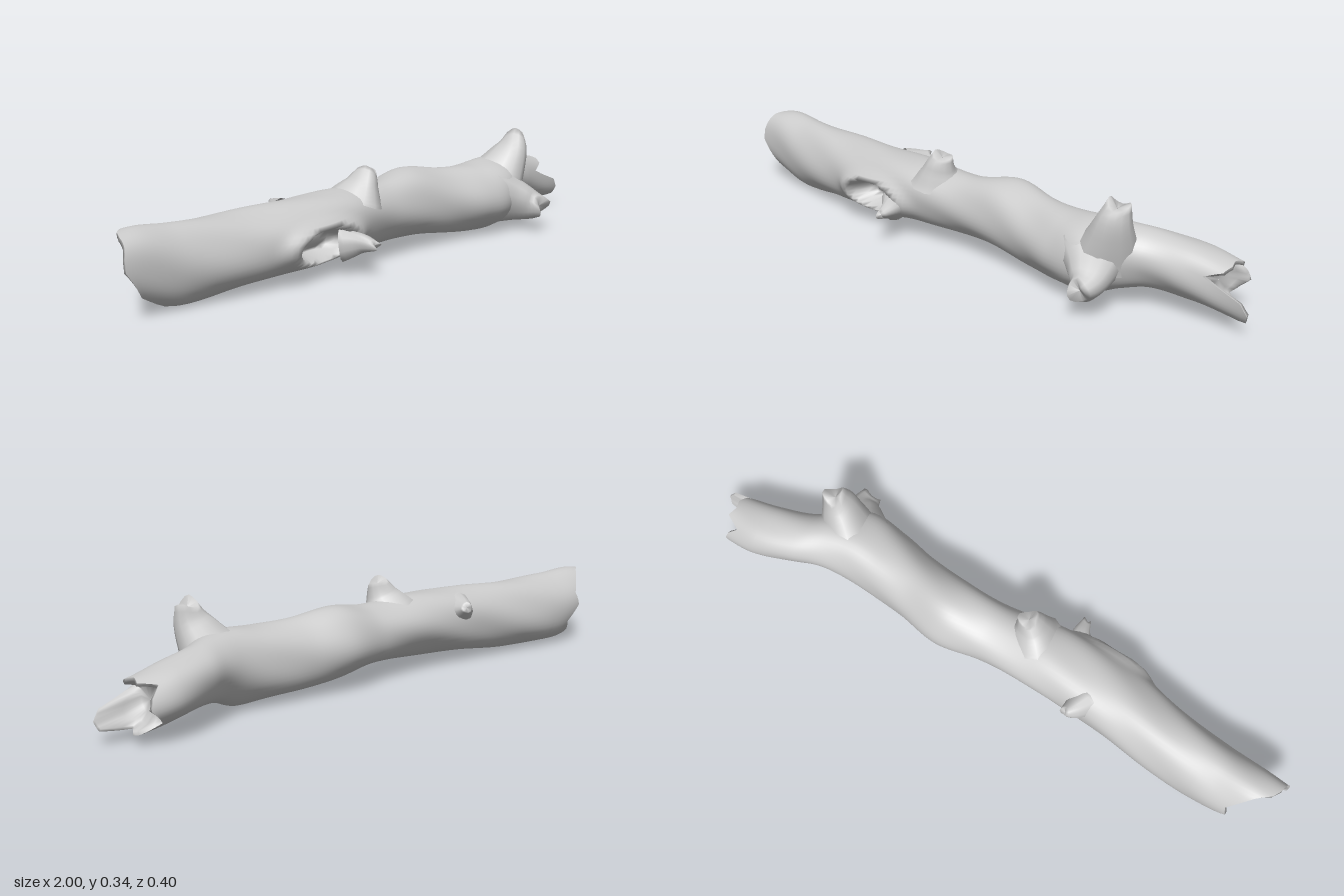
import * as THREE from 'three';

// Trunk stations: x, top, bottom, back z, front z
const STATIONS = [
  [-1.0, 0.235, 0.05, -0.10, 0.052],
  [-0.92, 0.243, 0.03, -0.112, 0.058],
  [-0.8, 0.232, 0.005, -0.122, 0.07],
  [-0.6, 0.23, 0.013, -0.118, 0.092],
  [-0.4, 0.238, 0.03, -0.107, 0.118],
  [-0.2, 0.244, 0.045, -0.1, 0.115],
  [0.0, 0.235, 0.05, -0.108, 0.085],
  [0.15, 0.255, 0.037, -0.135, 0.08],
  [0.3, 0.235, 0.022, -0.115, 0.09],
  [0.42, 0.235, 0.015, -0.106, 0.112],
  [0.52, 0.243, 0.017, -0.108, 0.12],
  [0.6, 0.24, 0.045, -0.125, 0.085],
  [0.68, 0.228, 0.06, -0.158, 0.015],
  [0.8, 0.21, 0.048, -0.193, -0.022],
  [0.9, 0.19, 0.035, -0.195, -0.042],
  [1.0, 0.175, 0.025, -0.185, -0.05],
];
// Broken end outlines: x reached at 16 angles, from the top towards the front
const LEFT_END = [-0.97, -0.985, -0.99, -1, -1, -0.97, -0.94, -0.85, -0.82, -0.86, -0.85, -0.83, -0.88, -0.87, -0.9, -0.93];
const RIGHT_END = [0.91, 0.92, 0.91, 0.86, 0.98, 1, 0.99, 0.9, 0.92, 0.91, 0.86, 0.88, 0.91, 0.9, 0.87, 0.92];
const SIDES = 48;
const RINGS = 120;

const material = new THREE.MeshStandardMaterial({ color: 0xcccccc, side: THREE.DoubleSide });

// Smooth interpolation between stations
function section(x) {
  let i = 0;
  while (i < STATIONS.length - 2 && x > STATIONS[i + 1][0]) i++;
  const a = STATIONS[i], b = STATIONS[i + 1];
  const t = THREE.MathUtils.clamp((x - a[0]) / (b[0] - a[0]), 0, 1);
  const prev = STATIONS[Math.max(i - 1, 0)], next = STATIONS[Math.min(i + 2, STATIONS.length - 1)];
  return [1, 2, 3, 4].map((k) => {
    const m0 = (b[k] - prev[k]) / (b[0] - prev[0]) * (b[0] - a[0]);
    const m1 = (next[k] - a[k]) / (next[0] - a[0]) * (b[0] - a[0]);
    const t2 = t * t, t3 = t2 * t;
    return a[k] * (2 * t3 - 3 * t2 + 1) + m0 * (t3 - 2 * t2 + t) + b[k] * (3 * t2 - 2 * t3) + m1 * (t3 - t2);
  });
}

function endAt(table, j) {
  const f = j / SIDES * table.length, i = Math.floor(f);
  return THREE.MathUtils.lerp(table[i % table.length], table[(i + 1) % table.length], f - i);
}

// Point on the bark at position x, side j, with the radius scaled
function barkPoint(x, j, scale = 1) {
  const [top, bottom, back, front] = section(x);
  const a = j / SIDES * Math.PI * 2;
  const lump = scale * (1 + 0.025 * Math.sin(3 * a + 7 * x) + 0.018 * Math.sin(5 * a - 17 * x));
  const y = (top + bottom) / 2 + (top - bottom) / 2 * Math.cos(a) * lump;
  const z = (front + back) / 2 + (front - back) / 2 * Math.sin(a) * lump;
  return new THREE.Vector3(x, Math.max(y, 0), z);
}

// Surface through closed loops of equal length
function loft(name, loops) {
  const n = loops[0].length, index = [];
  for (let i = 0; i < loops.length - 1; i++) {
    for (let j = 0; j < n; j++) {
      const a = i * n + j, b = i * n + (j + 1) % n;
      index.push(a, a + n, b, b, a + n, b + n);
    }
  }
  const geometry = new THREE.BufferGeometry().setFromPoints(loops.flat());
  geometry.setIndex(index);
  geometry.computeVertexNormals();
  const mesh = new THREE.Mesh(geometry, material);
  mesh.name = name;
  return mesh;
}

function loop(fn) {
  return Array.from({ length: SIDES }, (_, j) => fn(j));
}

function trunk() {
  const loops = [];
  for (let i = 0; i <= RINGS; i++) {
    const u = -1 + 2 * i / RINGS;
    loops.push(loop((j) => {
      let x = u;
      if (u < -0.75) x = THREE.MathUtils.mapLinear(u, -0.75, -1, -0.75, endAt(LEFT_END, j));
      if (u > 0.8) x = THREE.MathUtils.mapLinear(u, 0.8, 1, 0.8, endAt(RIGHT_END, j));
      const p = barkPoint(x, j);
      // Oval hollow in the front with a raised rim
      if (p.z > 0.03) {
        const d = Math.hypot((p.x + 0.335) / 0.105, (p.y - 0.112) / 0.047);
        p.z += 0.02 * Math.exp(-(((d - 1.25) / 0.35) ** 2));
        p.z -= 0.075 * (1 - THREE.MathUtils.smoothstep(d, 0.72, 1.08));
      }
      return p;
    }));
  }
  return loft('trunk', loops);
}

// Splintered cup inside a broken end; dir points inwards along x
function brokenEnd(name, table, dir, depth) {
  const rings = [[1, 0], [0.86, 0.005], [0.75, 0.6], [0.55, 1], [0.02, 1]];
  const floor = dir > 0 ? Math.max(...table) + depth : Math.min(...table) - depth;
  const loops = rings.map(([scale, t]) => loop((j) =>
    barkPoint(THREE.MathUtils.lerp(endAt(table, j), floor, t), j, scale)));
  if (dir > 0) loops.reverse();
  return loft(name, loops);
}

// Tapered stub through [x, y, z, radius] points, with a ragged tip
function stub(name, points, ragged) {
  const curve = new THREE.CatmullRomCurve3(points.map((p) => new THREE.Vector3(p[0], p[1], p[2])));
  const n = 14, steps = 10, loops = [];
  const last = points.length - 1;
  for (let i = 0; i <= steps + 1; i++) {
    const t = Math.min(i / steps, 1);
    const k = Math.min(Math.floor(t * last), last - 1);
    const r = i > steps ? 0.001 : THREE.MathUtils.lerp(points[k][3], points[k + 1][3], t * last - k);
    const centre = curve.getPoint(t), dir = curve.getTangent(t);
    const u = new THREE.Vector3(1, 0, 0).addScaledVector(dir, -dir.x).normalize();
    const v = new THREE.Vector3().crossVectors(dir, u);
    loops.push(Array.from({ length: n }, (_, j) => {
      const a = j / n * Math.PI * 2;
      const rr = r * (1 + 0.1 * Math.sin(3 * a + 1));
      const tip = i > steps ? -ragged : ragged * t ** 4 * Math.sin(2 * a + 0.6);
      return centre.clone().addScaledVector(u, rr * Math.cos(a))
        .addScaledVector(v, rr * Math.sin(a)).addScaledVector(dir, tip);
    }));
  }
  // Loops run the other way round from the trunk's
  loops.forEach((l) => l.reverse());
  return loft(name, loops);
}

export function createModel() {
  const group = new THREE.Group();
  group.name = 'brokenLog';
  group.add(
    trunk(),
    brokenEnd('leftBrokenEnd', LEFT_END, 1, 0.05),
    brokenEnd('rightBrokenEnd', RIGHT_END, -1, 0.0),
    // Snapped branches and knots
    stub('upperBranchStub', [[0.56, 0.15, 0.01, 0.1], [0.59, 0.21, 0.03, 0.075], [0.615, 0.27, 0.045, 0.052], [0.63, 0.32, 0.045, 0.032]], 0.014),
    stub('frontBranchStub', [[0.53, 0.13, 0.03, 0.1], [0.575, 0.11, 0.09, 0.07], [0.6, 0.095, 0.14, 0.048], [0.605, 0.09, 0.178, 0.032]], 0.012),
    stub('topKnot', [[-0.115, 0.2, 0.025, 0.085], [-0.1, 0.25, 0.035, 0.05], [-0.085, 0.292, 0.037, 0.03]], 0.008),
    stub('holeSplinter', [[-0.25, 0.1, 0.09, 0.05], [-0.22, 0.105, 0.14, 0.03], [-0.21, 0.1, 0.19, 0.013]], 0.008),
    stub('backKnot', [[-0.35, 0.18, -0.06, 0.05], [-0.335, 0.19, -0.1, 0.032], [-0.32, 0.2, -0.13, 0.015]], 0.005),
  );
  return group;
}
